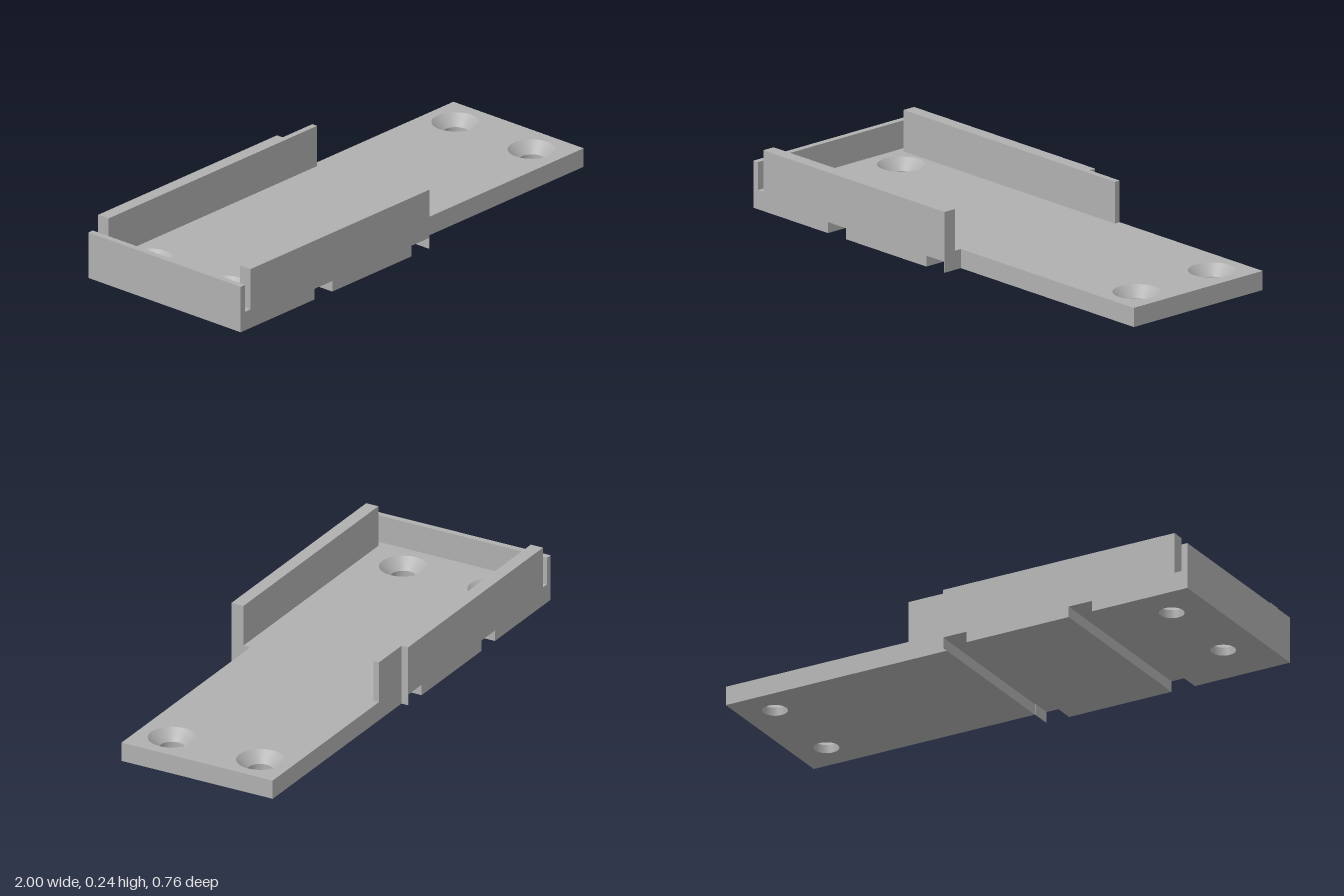
import * as THREE from 'three';

export function createModel() {
  const group = new THREE.Group();
  const grey = new THREE.MeshStandardMaterial({ color: 0xb0b0b0 });
  grey.name = 'plain grey';

  const PLATE = 0.075, GROOVE = 0.043, WALL_TOP = 0.238;
  const HOLE_R = 0.048, SINK_R = 0.09, SINK_Y = PLATE - (SINK_R - HOLE_R);
  const holeZ = [-0.22, 0.16];

  function add(name, geometry) {
    const mesh = new THREE.Mesh(geometry, grey);
    mesh.name = name;
    group.add(mesh);
    return mesh;
  }

  // Box given by its limits on each axis
  function block(name, x0, x1, y0, y1, z0, z1) {
    add(name, new THREE.BoxGeometry(x1 - x0, y1 - y0, z1 - z0))
      .position.set((x0 + x1) / 2, (y0 + y1) / 2, (z0 + z1) / 2);
  }

  // Plate section with two round openings at holeX
  function drilledPlate(name, x0, x1, z0, z1, holeX) {
    const shape = new THREE.Shape([[x0, -z1], [x1, -z1], [x1, -z0], [x0, -z0]]
      .map(([x, y]) => new THREE.Vector2(x, y)));
    for (const z of holeZ) {
      shape.holes.push(new THREE.Path().absarc(holeX, -z, SINK_R, 0, Math.PI * 2, true));
    }
    const geometry = new THREE.ExtrudeGeometry(shape, { depth: PLATE, bevelEnabled: false, curveSegments: 24 });
    add(name, geometry.rotateX(-Math.PI / 2));
    for (const z of holeZ) screwHole(holeX, z);
  }

  // Countersunk hole: cone, straight bore and flat underside ring
  function screwHole(x, z) {
    const profile = [[SINK_R, PLATE], [HOLE_R, SINK_Y], [HOLE_R, 0], [SINK_R, 0]];
    ['countersink', 'screwBore', 'holeUnderside'].forEach((name, i) => {
      const points = profile.slice(i, i + 2).map(([r, y]) => new THREE.Vector2(r, y));
      add(name, new THREE.LatheGeometry(points, 48)).position.set(x, 0, z);
    });
  }

  // Base plate, crossed underneath by two grooves
  drilledPlate('basePlateEnd', -1, -0.59, -0.38, 0.38, -0.84);
  block('grooveCeiling', -0.59, -0.49, GROOVE, PLATE, -0.38, 0.38);
  block('basePlateMiddle', -0.49, -0.05, 0, PLATE, -0.38, 0.38);
  block('grooveCeiling', -0.05, 0.05, GROOVE, PLATE, -0.38, 0.38);
  drilledPlate('basePlateTongue', 0.05, 1, -0.352, 0.298, 0.865);

  // Thin lips closing the second groove beside the tongue
  block('frontLip', 0.047, 0.05, 0, GROOVE, 0.298, 0.38);
  block('backLip', 0.047, 0.05, 0, GROOVE, -0.38, -0.352);

  // Side walls, the back one with a thinner extension
  block('frontWall', -0.945, 0.05, PLATE, WALL_TOP, 0.328, 0.38);
  block('backWall', -0.945, 0.05, PLATE, WALL_TOP, -0.38, -0.328);
  block('backWallExtension', 0.05, 0.215, PLATE, WALL_TOP, -0.352, -0.328);

  // Lower end wall, set off from the side walls by a slot
  block('endWall', -1, -0.975, PLATE, 0.184, -0.38, 0.38);

  return group;
}
